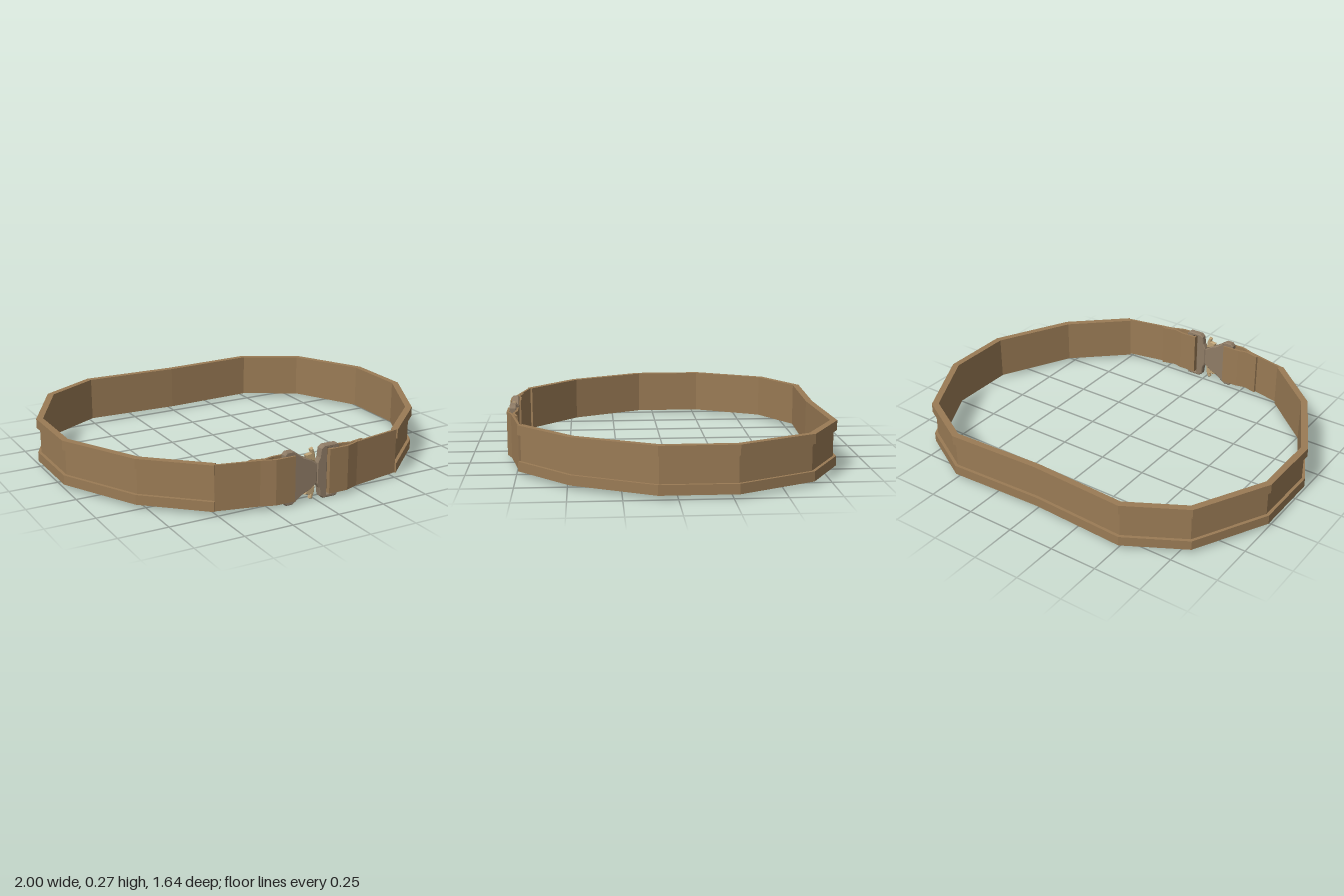
import * as THREE from 'three';

const webbing = new THREE.MeshStandardMaterial({ color: 0x9a7b55, flatShading: true });
const metal = new THREE.MeshStandardMaterial({ color: 0x8f7c66, flatShading: true });
const lever = new THREE.MeshStandardMaterial({ color: 0xbfa478, flatShading: true });

// Sweeps a closed counter-clockwise section [offset, y] along an open [x, z] path with mitred corners
function sweep(name, path, section, material) {
  const n = section.length;
  const pts = path.map(p => new THREE.Vector2(...p));
  const normal = (a, b) => {
    const d = b.clone().sub(a).normalize();
    return new THREE.Vector2(-d.y, d.x);
  };
  const pos = [];
  pts.forEach((p, i) => {
    const n1 = i > 0 ? normal(pts[i - 1], p) : normal(p, pts[i + 1]);
    const n2 = i < pts.length - 1 ? normal(p, pts[i + 1]) : n1;
    const m = n1.clone().add(n2).normalize();
    const k = 1 / Math.max(m.dot(n1), 0.5);
    for (const [o, y] of section) pos.push(p.x + m.x * o * k, y, p.y + m.y * o * k);
  });
  const index = [];
  for (let i = 0; i < pts.length - 1; i++) {
    for (let j = 0; j < n; j++) {
      const a = i * n + j, b = i * n + (j + 1) % n, c = a + n, d = b + n;
      index.push(a, c, d, a, d, b);
    }
  }
  const last = (pts.length - 1) * n;
  const caps = THREE.ShapeUtils.triangulateShape(section.map(s => new THREE.Vector2(...s)), []);
  for (const [a, b, c] of caps) index.push(a, b, c, last + a, last + c, last + b);
  const indexed = new THREE.BufferGeometry();
  indexed.setAttribute('position', new THREE.Float32BufferAttribute(pos, 3));
  indexed.setIndex(index);
  const geo = indexed.toNonIndexed();
  geo.computeVertexNormals();
  const mesh = new THREE.Mesh(geo, material);
  mesh.name = name;
  return mesh;
}

// Bevelled flat plate facing +z, with an optional rectangular slot [x0, x1, y0, y1]
function plate(name, outline, z0, z1, material, slot) {
  const shape = new THREE.Shape(outline.map(p => new THREE.Vector2(...p)));
  if (slot) {
    const [x0, x1, y0, y1] = slot;
    shape.holes.push(new THREE.Path([[x0, y0], [x0, y1], [x1, y1], [x1, y0]].map(p => new THREE.Vector2(...p))));
  }
  const b = 0.005;
  const geo = new THREE.ExtrudeGeometry(shape, {
    depth: z1 - z0 - 2 * b, bevelEnabled: true, bevelThickness: b, bevelSize: b, bevelOffset: -b, bevelSegments: 1,
  });
  geo.translate(0, 0, z0 + b);
  const mesh = new THREE.Mesh(geo, material);
  mesh.name = name;
  return mesh;
}

// Completes an outline given by its upper half by reflecting it about mid-height
const MID = 0.1375;
const mirrorY = half => [...half, ...half.slice().reverse().map(([x, y]) => [x, 2 * MID - y])];

export function createModel() {
  const belt = new THREE.Group();
  belt.name = 'belt';

  // Outer band: channel section with a raised rail along both edges
  const half = [[0.515, 0.741], [0.795, 0.488], [1, 0.092], [1, -0.278], [0.803, -0.655], [0.506, -0.822]];
  const path = [...half, [0, -0.8], ...half.slice().reverse().map(([x, z]) => [-x, z])];
  const channel = [
    [-0.034, 0.023], [0, 0.023], [0, 0.072], [-0.016, 0.072],
    [-0.016, 0.203], [0, 0.203], [0, 0.252], [-0.034, 0.252],
  ];
  belt.add(sweep('band', path, channel, webbing));

  // Front straps, each looped through the buckle with a short tail behind
  const t = 0.006;
  const flat = [[-t, 0.024], [t, 0.024], [t, 0.251], [-t, 0.251]];
  const loop = [[0.24, 0.782], [0.17, 0.808], [0.073, 0.808], [0.073, 0.764], [0.16, 0.764], [0.21, 0.776], [0.285, 0.757]];
  belt.add(sweep('leftStrap', [[0.508, 0.731], ...loop], flat, webbing));
  belt.add(sweep('rightStrap', [[-0.508, 0.731], ...loop.map(([x, z]) => [-x - 0.057, z])], flat, webbing));

  // Buckle: two waisted halves, slotted for the straps
  const buckle = new THREE.Group();
  buckle.name = 'buckle';
  const socket = mirrorY([
    [0.005, 0.185], [-0.03, 0.212], [-0.075, 0.232], [-0.11, 0.258], [-0.13, 0.272], [-0.165, 0.272], [-0.178, 0.258],
  ]);
  const tongue = mirrorY([
    [0.125, 0.258], [0.112, 0.272], [0.04, 0.272], [0.022, 0.258], [0.016, 0.215], [0.003, 0.19],
  ]);
  buckle.add(plate('buckleSocket', socket, 0.768, 0.804, metal, [-0.143, -0.117, 0.022, 0.253]));
  buckle.add(plate('buckleTongue', tongue, 0.768, 0.804, metal, [0.06, 0.086, 0.022, 0.253]));

  // Release levers above and below the waist
  const upper = [[-0.002, 0.195], [-0.006, 0.235], [-0.018, 0.268], [-0.034, 0.262], [-0.028, 0.243], [-0.06, 0.238], [-0.05, 0.215]];
  const lower = upper.map(([x, y]) => [x, 2 * MID - y]).reverse();
  buckle.add(plate('upperReleaseLever', upper, 0.775, 0.797, lever));
  buckle.add(plate('lowerReleaseLever', lower, 0.775, 0.797, lever));
  belt.add(buckle);

  return belt;
}
